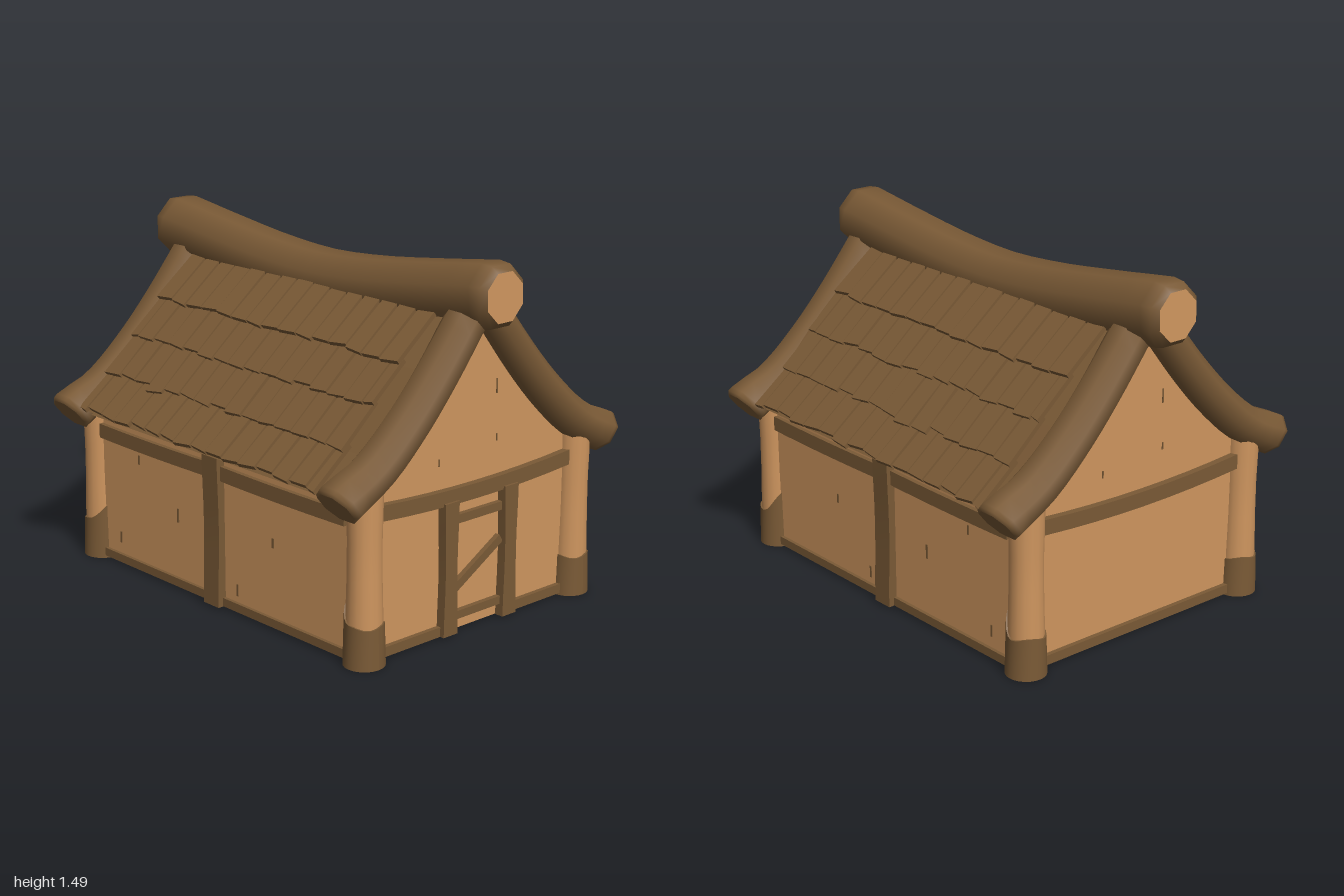
import * as THREE from 'three';
import { mergeGeometries } from 'three/addons/utils/BufferGeometryUtils.js';

const paleWood = new THREE.MeshStandardMaterial({ color: 0xcf965f });
paleWood.name = 'pale wood';
const darkWood = new THREE.MeshStandardMaterial({ color: 0x7a5a36 });
darkWood.name = 'dark wood';

const FRONT = 0.855, BACK = -0.812, SIDE = 0.583;

let seed = 7;
const rand = (a, b) => {
  seed = (seed * 16807) % 2147483647;
  return a + (b - a) * (seed / 2147483647);
};

function add(parent, name, geometry, material, x = 0, y = 0, z = 0) {
  const mesh = new THREE.Mesh(geometry, material);
  mesh.name = name;
  mesh.position.set(x, y, z);
  parent.add(mesh);
  return mesh;
}

// Log swept along a planar curve, flattened within that plane;
// group 0 is the bark, group 1 the cut ends
function logGeometry(points, side, radius, flatten, segments, sides) {
  const curve = new THREE.CatmullRomCurve3(points.map(p => new THREE.Vector3(...p)));
  const B = new THREE.Vector3(...side), pos = [], index = [], ends = [];
  const ring = (t) => {
    const c = curve.getPointAt(t), N = B.clone().cross(curve.getTangentAt(t)).normalize(), r = radius(t);
    for (let j = 0; j < sides; j++) {
      const a = ((j + 0.5) / sides) * Math.PI * 2;
      const p = c.clone().addScaledVector(N, r * flatten * Math.cos(a)).addScaledVector(B, r * Math.sin(a));
      pos.push(p.x, p.y, p.z);
    }
  };
  // rings are packed near both ends so that the rims can be rounded
  const ts = [0, 0.012, 0.035];
  for (let i = 1; i < segments; i++) ts.push(0.035 + 0.93 * i / segments);
  ts.push(0.965, 0.988, 1);
  ts.forEach(ring);
  for (let i = 0; i < ts.length - 1; i++) for (let j = 0; j < sides; j++) {
    const a = i * sides + j, b = i * sides + (j + 1) % sides;
    index.push(a, b, a + sides, b, b + sides, a + sides);
  }
  const first = ts.length * sides;
  ring(0);
  ring(1);
  for (let j = 1; j < sides - 1; j++) {
    ends.push(first, first + j + 1, first + j, first + sides, first + sides + j, first + sides + j + 1);
  }
  const g = new THREE.BufferGeometry();
  g.setAttribute('position', new THREE.Float32BufferAttribute(pos, 3));
  g.setIndex([...index, ...ends]);
  g.addGroup(0, index.length, 0);
  g.addGroup(index.length, ends.length, 1);
  g.computeVertexNormals();
  return g;
}

// Hewn timber with an optional sag along its length
function timber(parent, name, [w, h, d], [x, y, z], sag = 0) {
  const g = new THREE.BoxGeometry(w, h, d, w > 0.4 ? 8 : 1, h > 0.4 ? 6 : 1, d > 0.4 ? 8 : 1);
  const p = g.attributes.position, alongX = w > d;
  for (let i = 0; i < p.count; i++) {
    const u = alongX ? p.getX(i) / w : p.getZ(i) / d;
    p.setY(i, p.getY(i) - sag * (1 - 4 * u * u));
    if (h > 0.4) p.setX(i, p.getX(i) * (1 - 0.1 * Math.cos(p.getY(i) / h * 6)));
  }
  g.computeVertexNormals();
  return add(parent, name, g, darkWood, x, y, z);
}

// Extruded outline centred on z
function slab(points, depth) {
  const shape = new THREE.Shape(points.map(p => new THREE.Vector2(...p)));
  return new THREE.ExtrudeGeometry(shape, { depth, bevelEnabled: false }).translate(0, 0, -depth / 2);
}

const mirrored = (half) => [...half, ...half.map(([x, y]) => [-x, y]).reverse()];

function cornerPost(parent, x, z) {
  const post = new THREE.Group();
  post.name = 'cornerPost';
  post.position.set(x, 0, z);
  const profile = [[0.072, 0.01], [0.072, 0.2], [0.068, 0.35], [0.067, 0.5], [0.07, 0.62], [0.07, 0.72]];
  add(post, 'postShaft', new THREE.LatheGeometry(profile.map(p => new THREE.Vector2(...p)), 16), paleWood);
  // weathered foot whose upper rim rises towards the house
  const foot = new THREE.CylinderGeometry(0.078, 0.083, 0.17, 24, 1).translate(0, 0.085, 0);
  const p = foot.attributes.position;
  for (let i = 0; i < p.count; i++) if (p.getY(i) > 0.1 && Math.hypot(p.getX(i), p.getZ(i)) > 0.01) {
    const inner = Math.max(0, -Math.sign(z) * p.getZ(i) / 0.078);
    p.setY(i, 0.168 + 0.09 * inner ** 2 + 0.007 * Math.sin(Math.atan2(p.getX(i), p.getZ(i)) * 3));
  }
  foot.computeVertexNormals();
  add(post, 'postFoot', foot, darkWood);
  parent.add(post);
}

// Four courses of shingles on the slope of one side
const COURSES = [[0.1, 1.268], [0.288, 1.093], [0.428, 0.955], [0.568, 0.815], [0.712, 0.682]];
function shingles(sideSign) {
  const parts = [], count = 15, pitch = 1.49 / count;
  for (let row = 0; row < 4; row++) {
    const [x0, y0] = COURSES[row], [x1, y1] = COURSES[row + 1];
    const slope = Math.hypot(x1 - x0, y1 - y0), angle = Math.atan2(y1 - y0, x1 - x0);
    const odd = row % 2;
    for (let i = 0; i < count + odd; i++) {
      const edge = odd && (i === 0 || i === count);
      const width = (edge ? pitch / 2 : pitch) - rand(0.003, 0.009);
      const z = -0.735 + pitch * (edge ? (i ? count - 0.25 : 0.25) : i + (odd ? 0 : 0.5));
      const loose = row < 3 && rand(0, 1) > 0.94;
      const length = slope + 0.028 + rand(-0.008, 0.01);
      const g = new THREE.BoxGeometry(length, 0.02, width);
      const p = g.attributes.position, taper = rand(0.88, 0.98), skew = rand(-0.006, 0.006);
      for (let k = 0; k < p.count; k++) {
        if (p.getX(k) < 0) p.setZ(k, p.getZ(k) * taper);
        else p.setX(k, p.getX(k) + Math.sign(p.getZ(k)) * skew);
      }
      if (loose) g.rotateY(rand(-0.12, 0.12));
      g.translate(length / 2 - 0.025 + (loose ? 0.025 : 0), 0.008 + rand(0, 0.005), 0);
      g.rotateZ(angle + 0.08).translate(x0, y0, z + 0.005);
      if (sideSign < 0) g.rotateY(Math.PI).translate(0, 0, 0.02);
      parts.push(g);
    }
  }
  const merged = mergeGeometries(parts);
  merged.computeVertexNormals();
  return merged;
}

export function createModel() {
  const house = new THREE.Group();
  house.name = 'house';

  // Gable ends: wall, sagging tie beam and curved rafters
  const gable = mirrored([[0.6, 0.012], [0.6, 0.72], [0.43, 0.88], [0.28, 1.04], [0.06, 1.25]]);
  const rafter = [[0.05, 1.285], [0.23, 1.065], [0.38, 0.905], [0.55, 0.76], [0.738, 0.66]];
  const cracks = [[-0.32, 0.86, 0.04], [-0.2, 0.72, 0.03], [0.115, 0.97, 0.06], [0.12, 0.76, 0.03], [-0.13, 1.03, 0.03]];
  for (const [z, out] of [[FRONT, 1], [BACK, -1]]) {
    add(house, 'gableWall', slab(gable, 0.03), paleWood, 0, 0, z - out * 0.01);
    timber(house, 'tieBeam', [1.05, 0.063, 0.07], [0, 0.598, z], 0.022);
    for (const [x, y, h] of cracks) {
      add(house, 'crack', new THREE.BoxGeometry(0.006, h, 0.004), darkWood, x * out, y, z + out * 0.006);
    }
    for (const s of [1, -1]) {
      cornerPost(house, s * SIDE, z);
      const g = logGeometry(rafter.map(([x, y]) => [x * s, y, z + out * 0.006]), [0, 0, 1],
        t => (t > 0.995 ? 0.085 : t > 0.98 ? 0.1 : 0.092 + 0.01 * t), 0.84, 14, 8);
      // the cut ends lean outwards at the top
      const p = g.attributes.position;
      for (let i = 0; i < p.count; i++) {
        const reach = Math.max(0, Math.abs(p.getX(i)) - 0.66);
        p.setX(i, p.getX(i) + s * Math.min(1, reach / 0.05) * (p.getY(i) - 0.67) * 0.3);
      }
      g.computeVertexNormals();
      add(house, 'rafter', g, [darkWood, darkWood]);
    }
  }

  // Sills: unbroken at the back, open at the door in front
  timber(house, 'sill', [1.05, 0.04, 0.05], [0, 0.03, BACK]);
  for (const x of [-0.36, 0.365]) timber(house, 'sill', [0.34, 0.04, 0.05], [x, 0.03, FRONT]);

  // Side walls with middle post, rail and sill
  const middle = (FRONT + BACK) / 2, span = FRONT - BACK;
  for (const s of [1, -1]) {
    add(house, 'sideWall', new THREE.BoxGeometry(0.03, 0.7, span), paleWood, s * 0.595, 0.362, middle);
    timber(house, 'middlePost', [0.08, 0.67, 0.095], [s * 0.605, 0.345, 0.015]);
    for (const [a, b] of [[0.79, 0.05], [-0.02, -0.75]]) {
      timber(house, 'sideRail', [0.07, 0.062, a - b], [s * 0.595, 0.578, (a + b) / 2], 0.004);
      timber(house, 'sideSill', [0.05, 0.036, a - b], [s * 0.6, 0.03, (a + b) / 2]);
    }
    for (const [z, y, h] of [[0.36, 0.36, 0.04], [0.14, 0.1, 0.05], [-0.24, 0.32, 0.06], [-0.5, 0.5, 0.04], [-0.64, 0.12, 0.05]]) {
      add(house, 'crack', new THREE.BoxGeometry(0.004, h, 0.01), darkWood, s * 0.611, y, z);
    }
  }

  // Door frame and battens
  for (const x of [-0.16, 0.175]) timber(house, 'doorPost', [0.07, 0.55, 0.08], [x, 0.285, FRONT + 0.005]);
  timber(house, 'doorBatten', [0.26, 0.036, 0.03], [0.01, 0.477, FRONT + 0.012]);
  timber(house, 'doorBatten', [0.26, 0.034, 0.03], [0.01, 0.077, FRONT + 0.012]);
  timber(house, 'doorBrace', [0.295, 0.036, 0.03], [0.01, 0.267, FRONT + 0.012]).rotation.z = 0.53;

  // Roof boarding under the shingles
  const boards = [...mirrored(COURSES.slice().reverse().map(([x, y]) => [x - 0.01, y])),
    ...mirrored(COURSES.map(([x, y]) => [-x + 0.025, y - 0.018]))];
  add(house, 'roofBoarding', slab(boards, span - 0.06), darkWood, 0, 0, middle);
  for (const s of [1, -1]) add(house, 'shingles', shingles(s), darkWood);

  // Sagging ridge log with pale cut ends
  const ridge = [[0, 1.362, 1], [0, 1.36, 0.93], [0, 1.325, 0.65], [0, 1.285, 0.3], [0, 1.27, 0],
    [0, 1.285, -0.3], [0, 1.325, -0.65], [0, 1.36, -0.93], [0, 1.362, -1]];
  const ridgeRadius = t => {
    const e = Math.min(t, 1 - t);
    return e < 0.005 ? 0.104 : e < 0.02 ? 0.13 : e < 0.04 ? 0.138 : 0.129 + 0.008 * Math.abs(2 * t - 1);
  };
  add(house, 'ridgeLog', logGeometry(ridge, [1, 0, 0], ridgeRadius, 1, 16, 8), [darkWood, paleWood]);
  return house;
}
